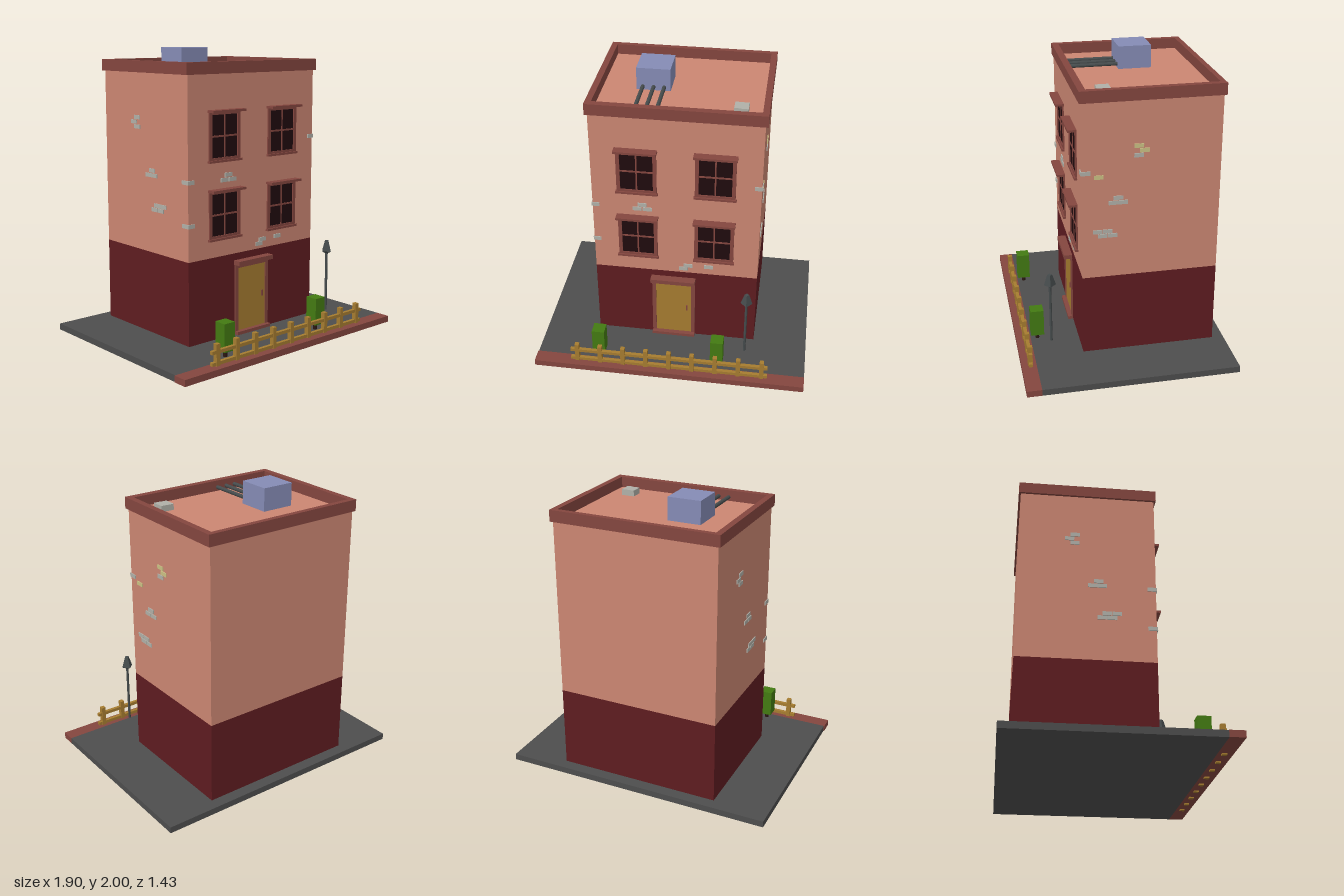
import * as THREE from 'three';

const mat = (color) => new THREE.MeshStandardMaterial({ color, flatShading: true });
const M = {
  wall: mat(0xcb8672), base: mat(0x5e1c20), trim: mat(0x84463f), gold: mat(0xa67c30),
  green: mat(0x437a12), blue: mat(0x858bb5), glass: mat(0x200b0e), grey: mat(0xb0b0a8),
  yellow: mat(0xcbc184), metal: mat(0x454b4c), ground: mat(0x4d4d4d), bark: mat(0x2b1712),
};

function add(parent, name, geometry, material, x, y, z) {
  const mesh = new THREE.Mesh(geometry, material);
  mesh.name = name;
  mesh.position.set(x, y, z);
  parent.add(mesh);
  return mesh;
}

// Box given by its min and max on each axis
function box(parent, name, material, x0, x1, y0, y1, z0, z1) {
  return add(parent, name, new THREE.BoxGeometry(x1 - x0, y1 - y0, z1 - z0), material,
    (x0 + x1) / 2, (y0 + y1) / 2, (z0 + z1) / 2);
}

function group(parent, name, x = 0, y = 0, z = 0) {
  const g = new THREE.Group();
  g.name = name;
  g.position.set(x, y, z);
  parent.add(g);
  return g;
}

const FRONT = 0.28, BACK = -0.635, SIDE = 0.57, ROOF = 1.84, GROUND = 0.054;

// Window centred on x = 0, y = 0 with the wall face at z = 0
function addWindow(parent, x, y) {
  const w = group(parent, 'window', x, y, FRONT);
  box(w, 'windowGlass', M.glass, -0.115, 0.115, -0.145, 0.145, -0.01, 0.003);
  for (const s of [-1, 1]) {
    add(w, 'windowJamb', new THREE.BoxGeometry(0.025, 0.33, 0.02), M.trim, s * 0.123, 0, 0);
  }
  box(w, 'windowHead', M.trim, -0.135, 0.135, 0.141, 0.168, -0.01, 0.01);
  box(w, 'windowFoot', M.trim, -0.135, 0.135, -0.168, -0.141, -0.01, 0.01);
  box(w, 'windowLintel', M.trim, -0.143, 0.143, 0.158, 0.174, -0.01, 0.06);
  box(w, 'windowSill', M.trim, -0.143, 0.143, -0.172, -0.157, -0.01, 0.021);
  box(w, 'verticalBar', M.trim, -0.005, 0.005, -0.145, 0.145, -0.01, 0.007);
  box(w, 'horizontalBar', M.trim, -0.115, 0.115, -0.006, 0.006, -0.01, 0.007);
}

function addBush(parent, x) {
  const b = group(parent, 'bush', x, 0, 0.568);
  add(b, 'bushTrunk', new THREE.CylinderGeometry(0.014, 0.014, 0.07, 8), M.bark, 0, 0.085, 0);
  box(b, 'bushLeaves', M.green, -0.044, 0.044, 0.098, 0.288, -0.045, 0.045);
}

export function createModel() {
  const root = new THREE.Group();
  root.name = 'townhouse';

  // Ground and kerb
  box(root, 'pavement', M.ground, -0.95, 0.95, 0.01, GROUND, -0.715, 0.615);
  box(root, 'kerb', M.trim, -0.955, 0.95, 0.01, GROUND, 0.615, 0.715);

  // Walls and roof
  box(root, 'lowerWalls', M.base, -SIDE, SIDE, GROUND, 0.625, BACK, FRONT);
  box(root, 'upperWalls', M.wall, -SIDE, SIDE, 0.625, ROOF + 0.004, BACK, FRONT);

  // Parapet ring
  const ring = new THREE.Shape([[-0.587, 0.648], [-0.587, -0.293], [0.587, -0.293], [0.587, 0.648]]
    .map(([x, y]) => new THREE.Vector2(x, y)));
  ring.holes.push(new THREE.Path([[-0.545, 0.612], [0.545, 0.612], [0.545, -0.247], [-0.545, -0.247]]
    .map(([x, y]) => new THREE.Vector2(x, y))));
  const parapet = new THREE.ExtrudeGeometry(ring, { depth: 0.078, bevelEnabled: false });
  parapet.rotateX(-Math.PI / 2);
  add(root, 'parapet', parapet, M.trim, 0, 1.839, 0);

  // Roof tank with pipes, and a small vent
  box(root, 'roofTank', M.blue, -0.316, -0.087, 1.83, 2, -0.32, -0.094);
  for (const x of [-0.273, -0.201, -0.13]) {
    const pipe = new THREE.CylinderGeometry(0.013, 0.013, 0.36, 10);
    pipe.rotateX(Math.PI / 2);
    add(root, 'roofPipe', pipe, M.metal, x, 1.87, 0.075);
  }
  box(root, 'roofVent', M.grey, 0.357, 0.405, 1.83, 1.885, 0.065, 0.152);
  box(root, 'roofVent', M.grey, 0.405, 0.45, 1.83, 1.885, 0.067, 0.157);

  // Windows
  for (const x of [-0.262, 0.264]) for (const y of [1.434, 0.911]) addWindow(root, x, y);

  // Door
  const door = group(root, 'door');
  box(door, 'doorPanel', M.gold, -0.145, 0.113, GROUND, 0.525, 0.27, 0.284);
  box(door, 'doorJamb', M.trim, -0.17, -0.143, GROUND, 0.55, 0.27, 0.29);
  box(door, 'doorJamb', M.trim, 0.11, 0.137, GROUND, 0.55, 0.27, 0.29);
  box(door, 'doorHead', M.trim, -0.143, 0.11, 0.52, 0.55, 0.27, 0.29);
  box(door, 'doorLintel', M.trim, -0.175, 0.139, 0.547, 0.577, 0.27, 0.338);
  box(door, 'doorStep', M.trim, -0.17, 0.137, GROUND, 0.076, 0.27, 0.316);
  box(door, 'doorHandle', M.trim, 0.074, 0.085, 0.283, 0.326, 0.28, 0.293);

  // Exposed bricks: front [x, y], corners [side, y], sides [z, y, yellow]
  const bricks = group(root, 'exposedBricks');
  const brick = (x, y, z, w, d, m = M.grey) =>
    add(bricks, 'brick', new THREE.BoxGeometry(w, 0.027, d), m, x, y, z);
  for (const [x, y] of [[-0.228, 1.173], [-0.263, 1.14], [-0.193, 1.14],
    [0.085, 0.688], [0.053, 0.66], [0.23, 0.69]]) brick(x, y, FRONT, 0.062, 0.014);
  for (const [s, y] of [[-1, 1.15], [-1, 0.863], [1, 1.372]]) brick(s * 0.549, y, 0.255, 0.054, 0.064);
  for (const [z, y, yellow] of [[-0.09, 1.537, 1], [-0.127, 1.505, 1], [-0.09, 1.473], [0.17, 1.34, 1],
    [0.042, 1.19], [0.074, 1.157], [0.01, 1.157],
    [0.177, 0.957], [0.112, 0.957], [0.146, 0.926], [0.08, 0.926]]) {
    brick(SIDE, y, z, 0.012, 0.062, yellow ? M.yellow : M.grey);
  }
  for (const [z, y] of [[-0.26, 1.537], [-0.297, 1.505], [-0.26, 1.473],
    [-0.1, 1.19], [-0.14, 1.157], [-0.076, 1.157],
    [0.02, 0.957], [-0.045, 0.957], [-0.01, 0.926], [-0.075, 0.926]]) brick(-SIDE, y, z, 0.012, 0.062);

  // Bushes
  for (const x of [-0.507, 0.33]) addBush(root, x);

  // Street lamp with a four-sided head
  const lamp = group(root, 'streetLamp', 0.517, 0, 0.492);
  add(lamp, 'lampPole', new THREE.CylinderGeometry(0.009, 0.009, 0.43, 8), M.metal, 0, 0.355, 0);
  add(lamp, 'lampHeadLower', new THREE.CylinderGeometry(0.041, 0.018, 0.012, 4), M.metal, 0, 0.566, 0);
  add(lamp, 'lampHeadUpper', new THREE.CylinderGeometry(0.016, 0.041, 0.076, 4), M.metal, 0, 0.61, 0);

  // Fence
  const fence = group(root, 'fence', 0, 0, 0.656);
  for (let i = 0; i < 9; i++) {
    const x = -0.652 + i * 0.163;
    box(fence, 'fencePost', M.gold, x - 0.015, x + 0.015, 0, 0.198, -0.016, 0.016);
  }
  for (const y of [0.145, 0.07]) {
    box(fence, 'fenceRail', M.gold, -0.7, 0.693, y - 0.011, y + 0.011, -0.012, 0.012);
  }
  return root;
}
